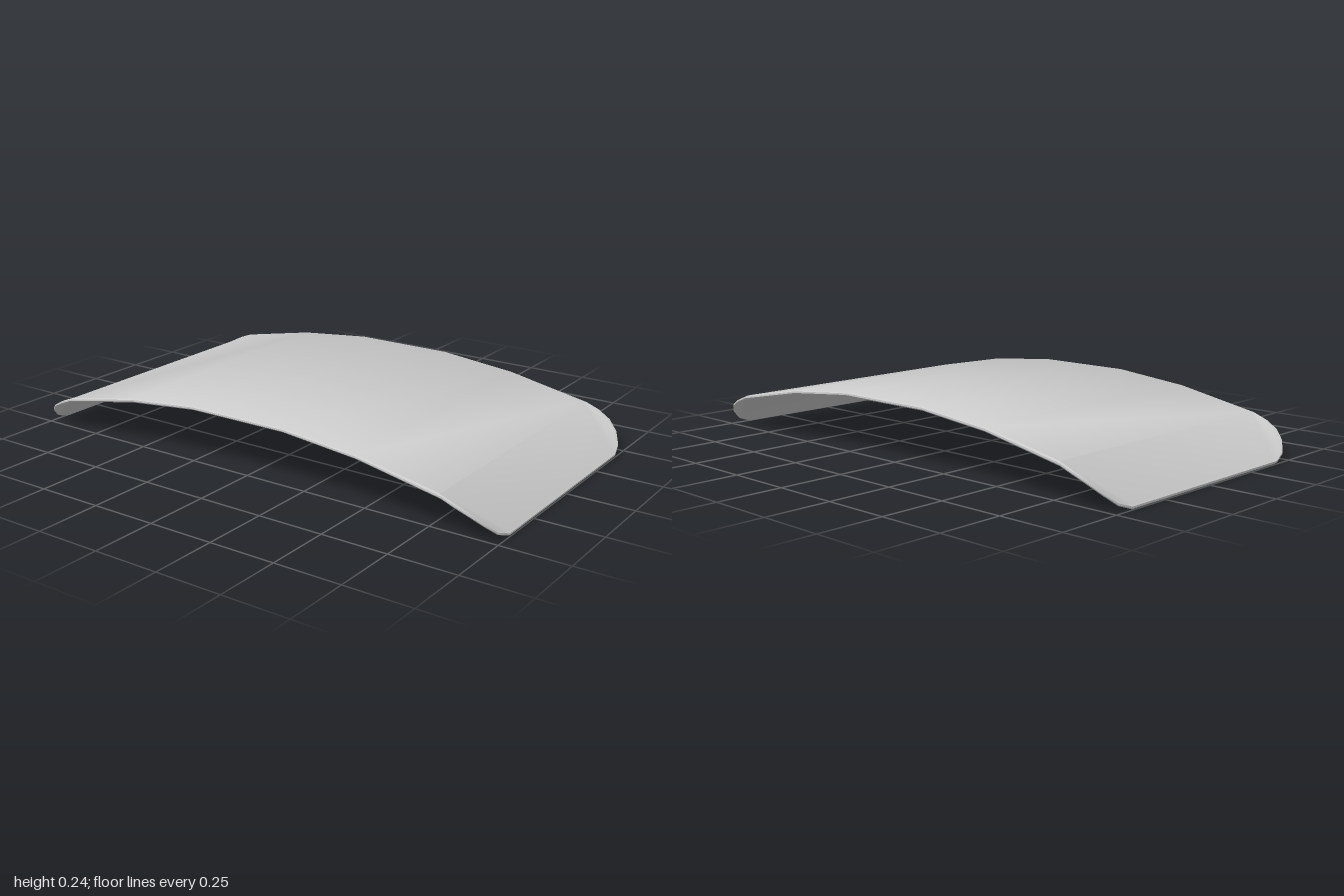
import * as THREE from 'three';
import { toCreasedNormals } from 'three/addons/utils/BufferGeometryUtils.js';

// One quarter of the outline, from the middle to the rounded corner: x, z, height
const QUARTER = [
  [0.2, 0.555, 0.237], [0.5, 0.555, 0.207], [0.82, 0.555, 0.146], [0.87, 0.555, 0.127],
  [0.92, 0.543, 0.102], [0.96, 0.517, 0.07], [0.988, 0.475, 0.035], [1, 0.42, 0.016],
];

// Rings down the rim: drop from the top surface, inset of the outline
const RINGS = [[0, 0.008], [0.005, 0], [0.011, 0], [0.016, 0.006]];

function outline() {
  const mirror = (sx, sz) => QUARTER.map(([x, z, y]) => [x * sx, y, z * sz]);
  return [
    ...mirror(-1, 1).reverse(), ...mirror(1, 1),
    ...mirror(1, -1).reverse(), ...mirror(-1, -1),
  ];
}

function panelGeometry() {
  const loop = outline();
  const n = loop.length;
  const positions = [];
  for (const [drop, inset] of RINGS) {
    for (const [x, y, z] of loop) {
      positions.push(x * (1 - inset), y - drop, z * (1 - inset / 0.555));
    }
  }

  // Cap: strips across the arch, a flat trapezoid at each end, a fan in each corner
  const cap = [];
  const quad = (list, a, b, c, d) => list.push([a, b, c], [a, c, d]);
  for (let k = 5; k < 10; k++) quad(cap, k, k + 1, n - 2 - k, n - 1 - k);
  quad(cap, 0, 5, 26, 31);
  quad(cap, 10, 15, 16, 21);
  for (let i = 0; i < 4; i++) {
    cap.push([i, i + 1, 5], [10, 11 + i, 12 + i], [16 + i, 17 + i, 21], [26, 27 + i, 28 + i]);
  }

  // Top, underside and bevelled rim
  const faces = [...cap];
  const last = (RINGS.length - 1) * n;
  for (const [a, b, c] of cap) faces.push([last + a, last + c, last + b]);
  for (let r = 0; r < RINGS.length - 1; r++) {
    for (let i = 0; i < n; i++) {
      const j = (i + 1) % n;
      quad(faces, (r + 1) * n + i, (r + 1) * n + j, r * n + j, r * n + i);
    }
  }

  const geometry = new THREE.BufferGeometry();
  geometry.setAttribute('position', new THREE.Float32BufferAttribute(positions, 3));
  geometry.setIndex(faces.flat());
  return toCreasedNormals(geometry, 0.6);
}

export function createModel() {
  const group = new THREE.Group();
  group.name = 'curvedPanel';
  const panel = new THREE.Mesh(
    panelGeometry(),
    new THREE.MeshStandardMaterial({ color: 0xcccccc }),
  );
  panel.name = 'archedPlate';
  group.add(panel);
  return group;
}
